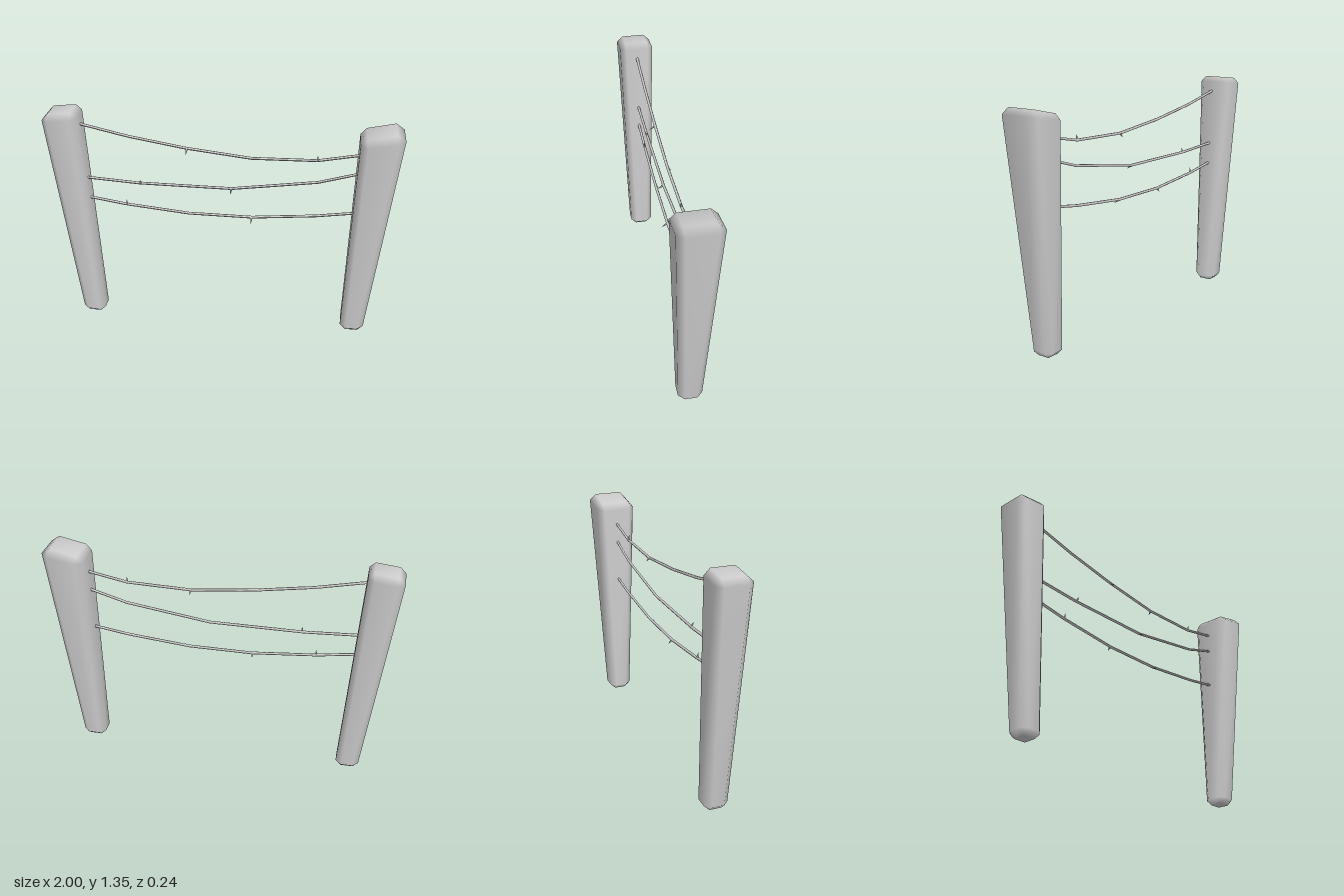
import * as THREE from 'three';
import { mergeVertices } from 'three/addons/utils/BufferGeometryUtils.js';

const material = new THREE.MeshStandardMaterial({ color: 0xcccccc });

// Rectangle with cut corners; height runs from yl at x0 to yr at x1
function ring({ x0, x1, d, yl, yr, c }) {
  const y = x => yl + (yr - yl) * (x - x0) / (x1 - x0);
  return [
    [x0 + c, d], [x1 - c, d], [x1, d - c], [x1, c - d],
    [x1 - c, -d], [x0 + c, -d], [x0, c - d], [x0, d - c],
  ].map(([x, z]) => [x, y(x), z]);
}

// Bevelled, tapered post skinned through its rings from bottom to top
function post(name, sections) {
  const rings = sections.map(ring);
  const pos = [];
  const tri = (a, b, c) => {
    if (a.some((v, i) => v !== b[i]) && b.some((v, i) => v !== c[i]) && a.some((v, i) => v !== c[i])) pos.push(...a, ...b, ...c);
  };
  for (let r = 0; r < rings.length - 1; r++) {
    for (let i = 0; i < 8; i++) {
      const j = (i + 1) % 8, lo = rings[r], hi = rings[r + 1];
      tri(lo[i], lo[j], hi[j]);
      tri(lo[i], hi[j], hi[i]);
    }
  }
  // End caps
  const bottom = rings[0], top = rings[rings.length - 1];
  for (let i = 1; i < 7; i++) {
    tri(bottom[0], bottom[i + 1], bottom[i]);
    tri(top[0], top[i], top[i + 1]);
  }
  let geo = new THREE.BufferGeometry();
  geo.setAttribute('position', new THREE.Float32BufferAttribute(pos, 3));
  geo = mergeVertices(geo, 1e-4);
  geo.computeVertexNormals();
  const mesh = new THREE.Mesh(geo, material);
  mesh.name = name;
  return mesh;
}

// Thin sagging wire: a cylinder whose rows are moved onto the points
function wire(points) {
  const n = points.length - 1;
  const geo = new THREE.CylinderGeometry(0.008, 0.008, n, 6, n).rotateZ(-Math.PI / 2);
  const p = geo.attributes.position;
  for (let i = 0; i < p.count; i++) {
    const [x, y] = points[Math.round(p.getX(i) + n / 2)];
    p.setXYZ(i, x, y + p.getY(i), p.getZ(i));
  }
  geo.computeVertexNormals();
  const mesh = new THREE.Mesh(geo, material);
  mesh.name = 'wire';
  return mesh;
}

// Small spike leaning up or down and forward or back
function barb([x, y, dy, dz]) {
  const dir = new THREE.Vector3(0, dy, dz);
  const len = dir.length();
  const mesh = new THREE.Mesh(new THREE.ConeGeometry(0.008, len, 5).translate(0, len / 2, 0), material);
  mesh.position.set(x, y, 0);
  mesh.quaternion.setFromUnitVectors(new THREE.Vector3(0, 1, 0), dir.normalize());
  mesh.name = 'barb';
  return mesh;
}

export function createModel() {
  const group = new THREE.Group();
  group.name = 'wireFence';

  group.add(post('rightPost', [
    { x0: -0.832, x1: -0.762, d: 0.035, yl: 0, yr: 0, c: 0 },
    { x0: -0.865, x1: -0.728, d: 0.069, yl: 0.033, yr: 0.033, c: 0.034 },
    { x0: -1, x1: -0.803, d: 0.1, yl: 1.3, yr: 1.32, c: 0.034 },
    { x0: -0.967, x1: -0.835, d: 0.066, yl: 1.335, yr: 1.35, c: 0 },
  ]));
  group.add(post('leftPost', [
    { x0: 0.77, x1: 0.842, d: 0.035, yl: 0, yr: 0, c: 0 },
    { x0: 0.737, x1: 0.876, d: 0.069, yl: 0.033, yr: 0.033, c: 0.034 },
    { x0: 0.764, x1: 1, d: 0.12, yl: 1.253, yr: 1.293, c: 0.038 },
    { x0: 0.797, x1: 0.953, d: 0.084, yl: 1.29, yr: 1.325, c: 0 },
  ]));

  // Wires: [x, y] along each run
  const wires = new THREE.Group();
  wires.name = 'wires';
  [
    [[-0.82, 1.264], [-0.53, 1.2], [-0.2, 1.146], [0.17, 1.106], [0.54, 1.115], [0.78, 1.163]],
    [[-0.8, 0.925], [-0.48, 0.907], [0.06, 0.907], [0.55, 0.98], [0.78, 1.049]],
    [[-0.79, 0.797], [-0.56, 0.762], [-0.19, 0.727], [0.18, 0.727], [0.55, 0.763], [0.775, 0.798]],
  ].forEach(points => wires.add(wire(points)));
  group.add(wires);

  // Barbs: x, y, rise, lean towards the front
  const barbs = new THREE.Group();
  barbs.name = 'barbs';
  [
    [-0.195, 1.146, -0.026, 0.036], [0.17, 1.106, -0.022, -0.02], [0.54, 1.115, 0.034, 0.004],
    [-0.47, 0.907, 0.028, 0.014], [0.058, 0.907, -0.024, 0.036],
    [-0.558, 0.762, 0.034, 0.004], [-0.192, 0.727, -0.022, -0.02], [0.178, 0.727, -0.026, 0.036],
  ].forEach(b => barbs.add(barb(b)));
  group.add(barbs);

  return group;
}
